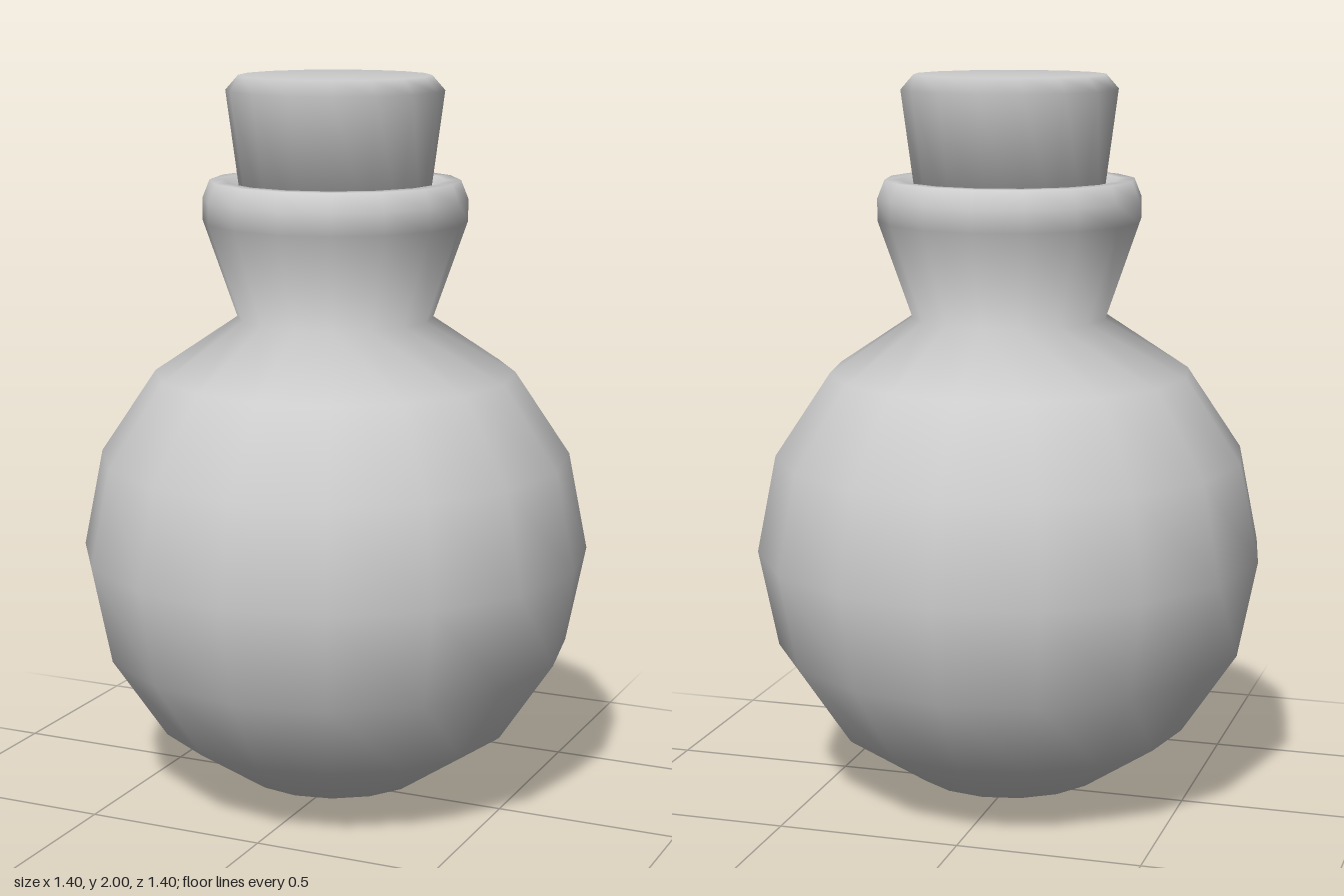
import * as THREE from 'three';

const SIDES = 16;
const material = new THREE.MeshStandardMaterial({ color: 0xcccccc, side: THREE.DoubleSide });

// Round part turned about the y axis from [radius, height] pairs, bottom to top
function turned(name, profile) {
  const points = profile.map(([r, y]) => new THREE.Vector2(r, y));
  const mesh = new THREE.Mesh(new THREE.LatheGeometry(points, SIDES), material);
  mesh.name = name;
  return mesh;
}

export function createModel() {
  const group = new THREE.Group();
  group.name = 'corkedBottle';

  // Spherical belly: an arc in steps of 22.5 degrees, open where the neck begins
  const R = 0.7;
  const belly = [];
  for (let i = 0; i <= 7; i++) {
    const a = (i * Math.PI) / 8;
    belly.push([R * Math.sin(a), R - R * Math.cos(a)]);
  }

  // Flared neck with a rounded lip that folds inward to the cork
  const neck = [[0.36, 1.61], [0.36, 1.67], [0.34, 1.72], [0.3, 1.72], [0.28, 1.69], [0.255, 1.67]];
  group.add(turned('bottle', [...belly, ...neck]));

  // Tapered cork with a small bevel and a flat top
  group.add(turned('cork', [[0, 1.62], [0.25, 1.62], [0.295, 1.96], [0.26, 2], [0, 2]]));

  return group;
}
